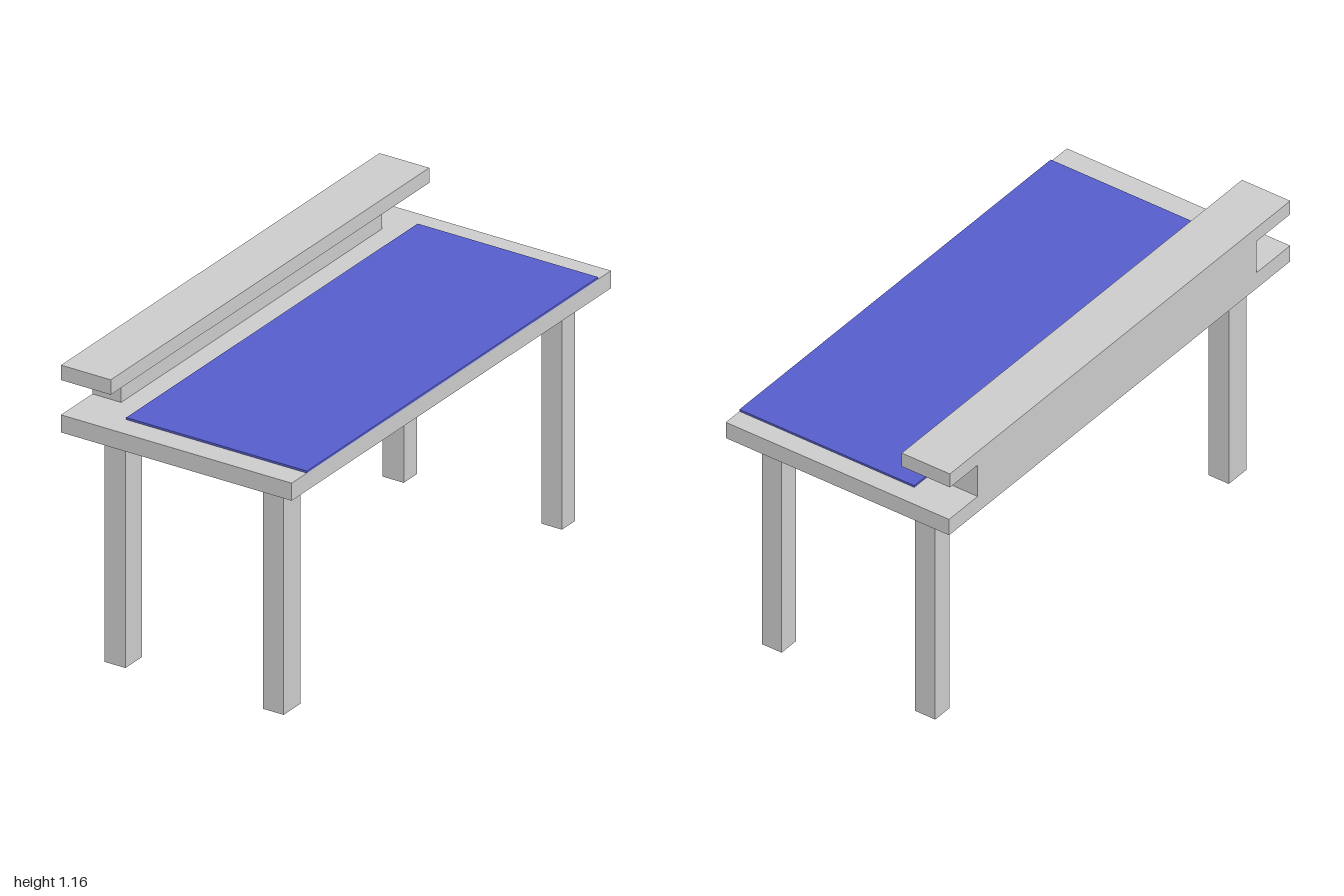
import * as THREE from 'three';

export function createModel() {
  const group = new THREE.Group();
  const grey = new THREE.MeshStandardMaterial({ color: 0xcccccc });
  grey.name = 'light grey';
  const blue = new THREE.MeshStandardMaterial({ color: 0x565ecc });
  blue.name = 'blue';

  // Box given by its extents along each axis
  function block(name, [x0, x1], [y0, y1], [z0, z1], material = grey) {
    const mesh = new THREE.Mesh(new THREE.BoxGeometry(x1 - x0, y1 - y0, z1 - z0), material);
    mesh.position.set((x0 + x1) / 2, (y0 + y1) / 2, (z0 + z1) / 2);
    mesh.name = name;
    group.add(mesh);
  }

  // Table top with its thin desk mat
  block('tableTop', [-0.483, 0.481], [0.895, 0.963], [-1, 1]);
  block('deskMat', [-0.274, 0.481], [0.963, 0.971], [-0.92, 0.905], blue);

  // Raised shelf along one long edge
  block('shelfRiser', [-0.483, -0.363], [0.963, 1.098], [-0.832, 0.803]);
  block('shelf', [-0.483, -0.275], [1.098, 1.156], [-0.995, 1]);

  // Four legs, the front pair a little deeper
  for (const [side, xs] of [['Right', [-0.363, -0.275]], ['Left', [0.3, 0.386]]]) {
    block('front' + side + 'Leg', xs, [0, 0.895], [0.803, 0.908]);
    block('back' + side + 'Leg', xs, [0, 0.895], [-0.918, -0.835]);
  }
  return group;
}
